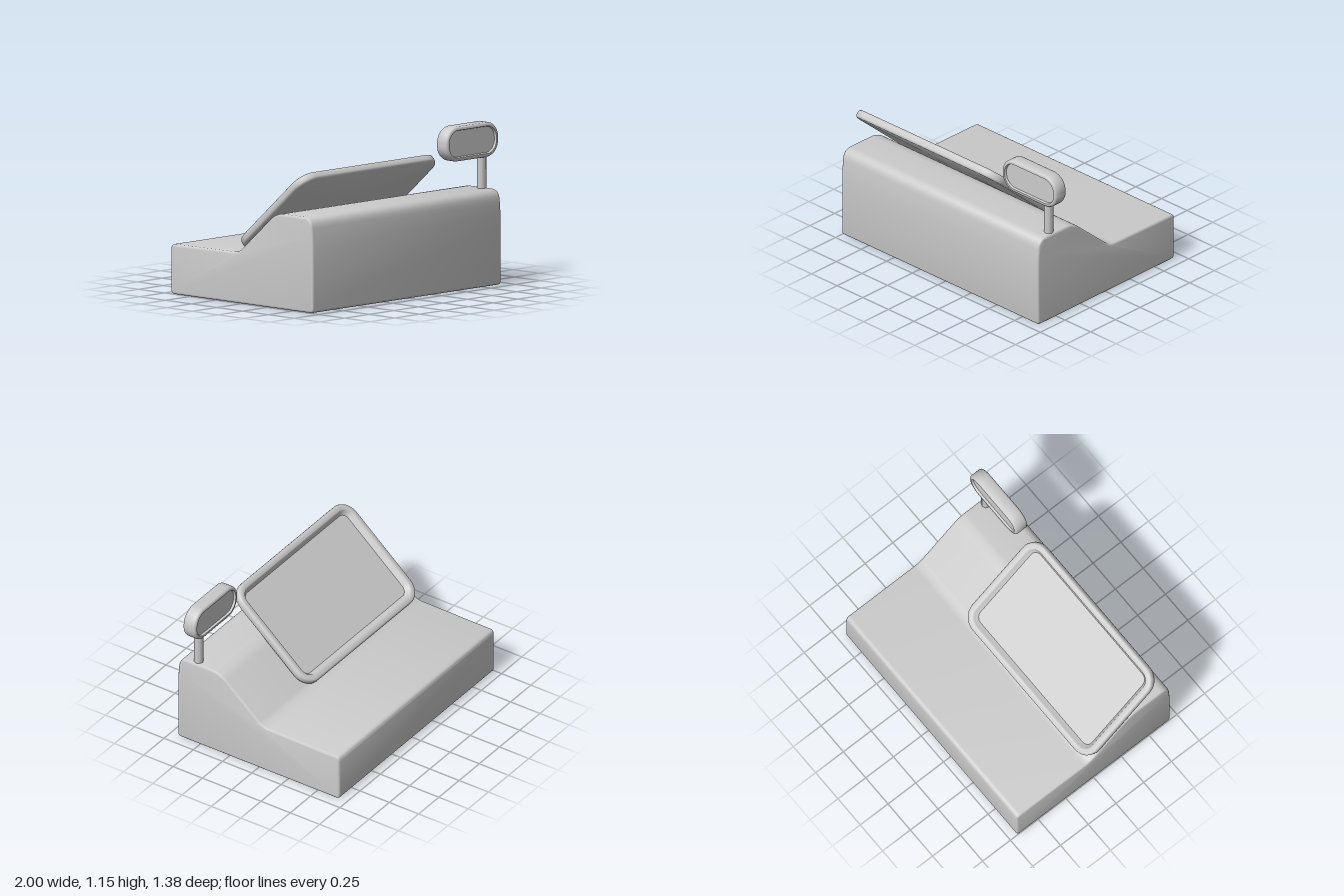
import * as THREE from 'three';
import { toCreasedNormals } from 'three/addons/utils/BufferGeometryUtils.js';

const material = new THREE.MeshStandardMaterial({ color: 0xcccccc });

function addMesh(parent, name, geometry) {
  const mesh = new THREE.Mesh(geometry, material);
  mesh.name = name;
  parent.add(mesh);
  return mesh;
}

// Closed shape from corners [x, y, rounding]
function roundedPolygon(corners) {
  const shape = new THREE.Shape();
  corners.forEach(([x, y, r], i) => {
    const n = corners.length;
    const c = new THREE.Vector2(x, y);
    const towards = ([px, py]) =>
      new THREE.Vector2(px, py).sub(c).setLength(r).add(c);
    const a = towards(corners[(i + n - 1) % n]);
    const b = towards(corners[(i + 1) % n]);
    if (i === 0) shape.moveTo(a.x, a.y);
    else shape.lineTo(a.x, a.y);
    shape.quadraticCurveTo(x, y, b.x, b.y);
  });
  shape.closePath();
  return shape;
}

// Solid skinned over rounded rectangles, one per [inset, z] step, capped at both ends
function roundedPanel(width, height, radius, steps) {
  const SEG = 8;
  const count = 4 * (SEG + 1);
  const positions = [];
  const indices = [];
  for (const [inset, z] of steps) {
    const r = Math.max(radius - inset, 0.01);
    for (let q = 0; q < 4; q++) {
      const sx = q === 0 || q === 3 ? 1 : -1;
      const sy = q < 2 ? 1 : -1;
      for (let k = 0; k <= SEG; k++) {
        const t = (q + k / SEG) * Math.PI / 2;
        positions.push(
          sx * (width / 2 - inset - r) + r * Math.cos(t),
          sy * (height / 2 - inset - r) + r * Math.sin(t), z);
      }
    }
  }
  const last = steps.length - 1;
  positions.push(0, 0, steps[0][1], 0, 0, steps[last][1]);
  const c0 = count * steps.length;
  for (let i = 0; i < count; i++) {
    const j = (i + 1) % count;
    for (let s = 0; s < last; s++) {
      const a = s * count + i, b = s * count + j;
      indices.push(a, b, b + count, a, b + count, a + count);
    }
    indices.push(c0, j, i, c0 + 1, last * count + i, last * count + j);
  }
  const geometry = new THREE.BufferGeometry();
  geometry.setAttribute('position', new THREE.Float32BufferAttribute(positions, 3));
  geometry.setIndex(indices);
  return toCreasedNormals(geometry, 0.75);
}

export function createModel() {
  const register = new THREE.Group();
  register.name = 'cashRegister';

  // Stepped body: side profile in (z, y), extruded across the width
  const profile = roundedPolygon([
    [-0.69, 0, 0.03], [0.69, 0, 0.03], [0.69, 0.52, 0.08], [0.673, 0.677, 0.07],
    [0.33, 0.675, 0.07], [-0.035, 0.36, 0.05], [-0.69, 0.355, 0.035],
  ]);
  const bevel = 0.015;
  const body = addMesh(register, 'body', toCreasedNormals(new THREE.ExtrudeGeometry(profile, {
    depth: 1.92 - 2 * bevel, curveSegments: 6,
    bevelThickness: bevel, bevelSize: bevel, bevelOffset: -bevel, bevelSegments: 3,
  }), 0.6));
  body.rotation.y = -Math.PI / 2;
  body.position.x = 0.92 - bevel;

  // Tilted operator screen with a raised frame, facing up and to the back
  const screen = addMesh(register, 'operatorScreen', roundedPanel(1.4, 0.865, 0.13, [
    [0.016, -0.03], [0.005, -0.025], [0, -0.014], [0, 0.014], [0.005, 0.025], [0.014, 0.03],
    [0.042, 0.03], [0.05, 0.026], [0.055, 0.016], [0.075, -0.006],
  ]));
  const tilt = THREE.MathUtils.degToRad(41);
  const c = Math.cos(tilt), s = Math.sin(tilt);
  screen.quaternion.setFromRotationMatrix(new THREE.Matrix4().makeBasis(
    new THREE.Vector3(-1, 0, 0), new THREE.Vector3(0, s, c), new THREE.Vector3(0, c, -s)));
  screen.position.set(-0.3, 0.68, 0.27);

  // Customer display on its pole, recessed on both faces
  const customer = new THREE.Group();
  customer.name = 'customerDisplay';
  register.add(customer);

  const half = [[0, 0.038], [0.005, 0.048], [0.014, 0.0525], [0.026, 0.0525], [0.031, 0.036]];
  const back = half.map(([inset, z]) => [inset, -z]).reverse();
  const head = addMesh(customer, 'displayHead', roundedPanel(0.53, 0.247, 0.115, [...back, ...half]));
  head.position.set(0.735, 1.023, 0.5375);

  const pole = addMesh(customer, 'displayPole', new THREE.CylinderGeometry(0.033, 0.033, 0.28, 8));
  pole.position.set(0.877, 0.78, 0.5375);

  return register;
}
